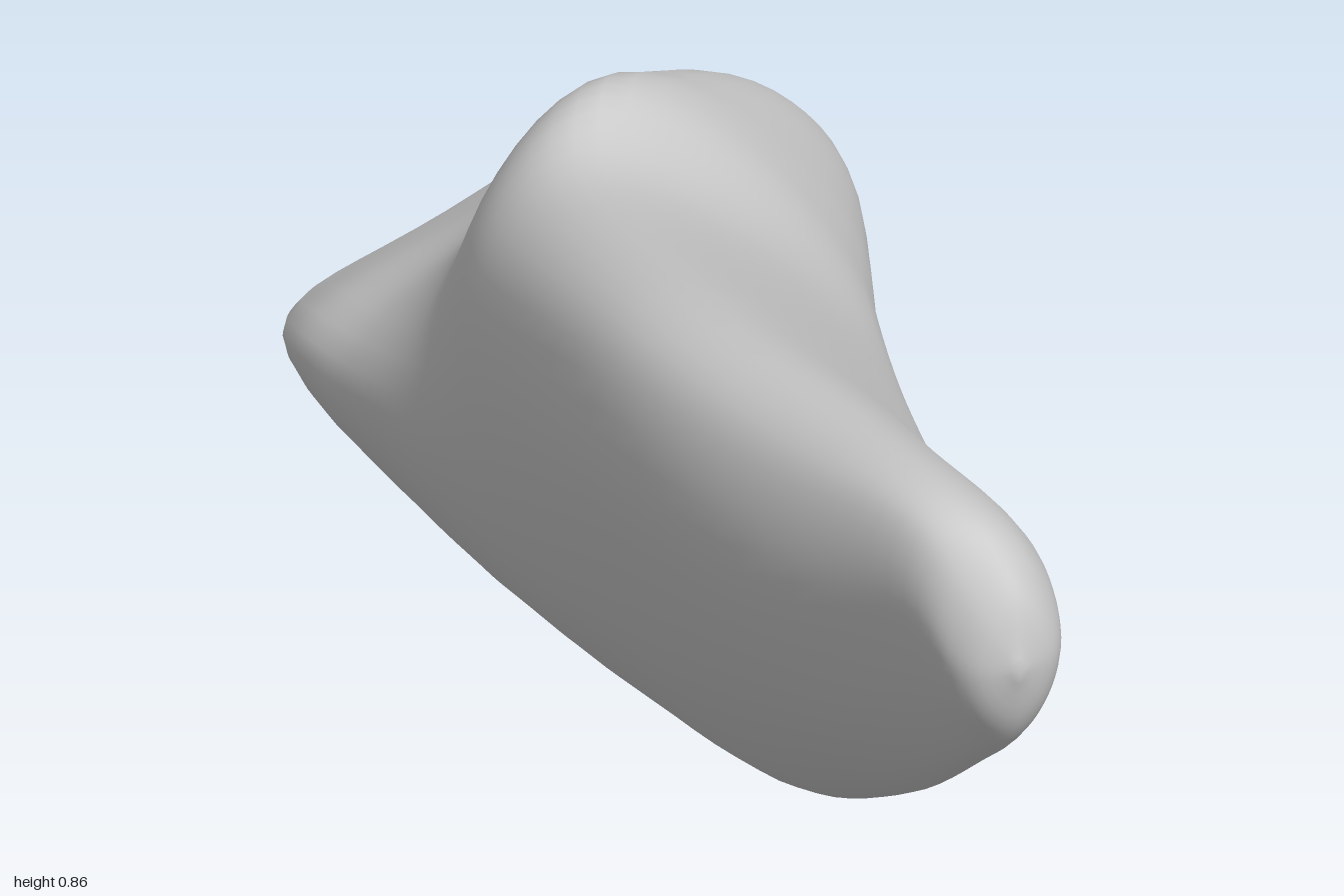
import * as THREE from 'three';
import { mergeVertices } from 'three/addons/utils/BufferGeometryUtils.js';

// Cross-sections from root tip to biting edge: z, then x, y of the
// top, right, bottom and left extremes of the outline.
const SECTIONS = [
  [0.97, -.18, .815, -.13, .74, -.175, .66, -.225, .74],
  [0.88, -.195, .857, -.105, .75, -.17, .58, -.255, .77],
  [0.65, -.2, .832, -.045, .62, -.15, .41, -.305, .68],
  [0.3, -.19, .768, .07, .45, -.11, .21, -.32, .59],
  [-0.15, -.14, .668, .195, .32, -.06, .045, -.275, .41],
  [-0.33, -.08, .69, .23, .33, -.05, .01, -.265, .35],
  [-0.45, 0, .637, .268, .325, -.045, 0, -.27, .31],
  [-0.6, .1, .55, .31, .315, -.04, .01, -.285, .27],
  [-0.75, .15, .46, .318, .3, -.04, .025, -.293, .24],
  [-0.9, .14, .368, .25, .27, -.02, .06, -.26, .18],
  [-0.97, .1, .28, .17, .22, -.03, .1, -.2, .17],
  [-0.995, .03, .22, .07, .185, -.03, .135, -.11, .155],
];
// Roundness between neighbouring extremes, on the root and on the crown;
// the last one flattens into the broad sloping face of the crown.
const ROOT_BULGE = [1.3, 1.35, 1.35, 1.38];
const CROWN_BULGE = [1.25, 1.55, 1.3, 1.07];
const ROOT_TIP = new THREE.Vector3(-0.18, 0.74, 1);
const BITING_EDGE = new THREE.Vector3(-0.02, 0.175, -1);
const SIDES = 48;
const STEPS = 6;

// Eight outline points: the four extremes and a bulged point after each
function outline([z, ...xy]) {
  const extremes = [0, 2, 4, 6].map((k) => new THREE.Vector3(xy[k], xy[k + 1], z));
  const centre = new THREE.Vector3();
  extremes.forEach((p) => centre.addScaledVector(p, 0.25));
  const crown = THREE.MathUtils.smoothstep(-z, 0.2, 0.75);
  return extremes.flatMap((p, k) => {
    const bulge = THREE.MathUtils.lerp(ROOT_BULGE[k], CROWN_BULGE[k], crown);
    const middle = p.clone().lerp(extremes[(k + 1) % 4], 0.5);
    return [p, centre.clone().lerp(middle, bulge)];
  });
}

// Smooth skin through the outlines, closed to a point at both ends
function loft() {
  const outlines = SECTIONS.map(outline);
  const rails = outlines[0].map((_, k) => new THREE.CatmullRomCurve3(
    [ROOT_TIP, ...outlines.map((o) => o[k]), BITING_EDGE], false, 'catmullrom', 0.5));
  const rows = (SECTIONS.length + 1) * STEPS;
  const positions = [];
  const indices = [];
  for (let i = 0; i <= rows; i++) {
    const ring = new THREE.CatmullRomCurve3(rails.map((r) => r.getPoint(i / rows)), true, 'catmullrom', 0.5);
    for (let j = 0; j < SIDES; j++) {
      const p = i === 0 ? ROOT_TIP : i === rows ? BITING_EDGE : ring.getPoint(j / SIDES);
      positions.push(p.x, p.y, p.z);
      if (i === rows) continue;
      const a = i * SIDES + j;
      const b = i * SIDES + (j + 1) % SIDES;
      if (i > 0) indices.push(a, b, a + SIDES);
      if (i < rows - 1) indices.push(b, b + SIDES, a + SIDES);
    }
  }
  const geometry = new THREE.BufferGeometry();
  geometry.setAttribute('position', new THREE.Float32BufferAttribute(positions, 3));
  geometry.setIndex(indices);
  const merged = mergeVertices(geometry, 1e-5);
  merged.computeVertexNormals();
  return merged;
}

export function createModel() {
  const group = new THREE.Group();
  group.name = 'tooth';

  // Root and crown form one continuous surface
  const tooth = new THREE.Mesh(loft(), new THREE.MeshStandardMaterial({ color: 0xcccccc }));
  tooth.name = 'rootAndCrown';
  group.add(tooth);
  return group;
}
